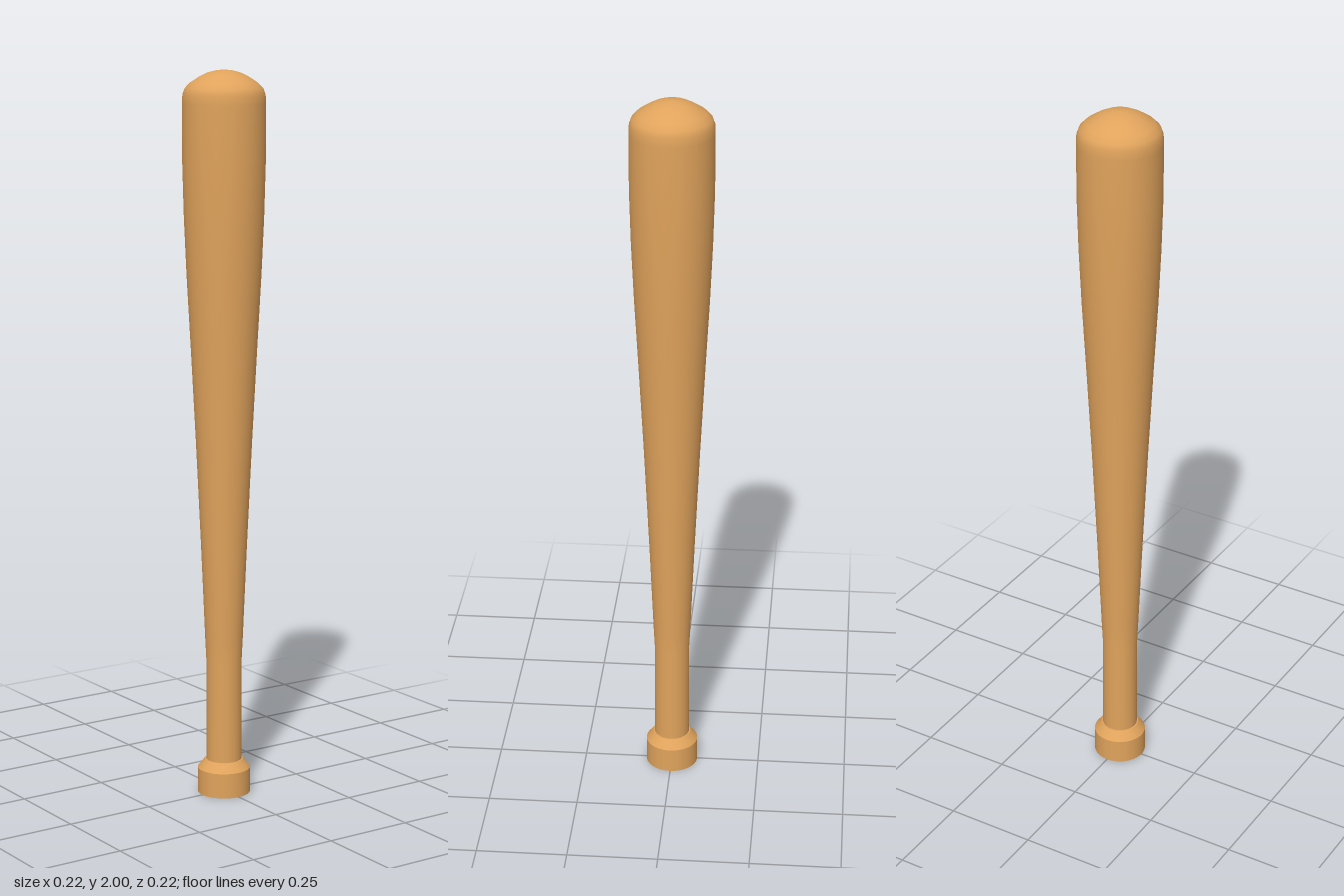
import * as THREE from 'three';

const SIDES = 48;

export function createModel() {
  const group = new THREE.Group();
  group.name = 'bat';
  const wood = new THREE.MeshStandardMaterial({ color: 0xe0a35c });

  // Each part is turned from [radius, height] points, bottom to top.
  function turned(name, profile) {
    const points = profile.map(([r, y]) => new THREE.Vector2(r, y));
    const mesh = new THREE.Mesh(new THREE.LatheGeometry(points, SIDES), wood);
    mesh.name = name;
    group.add(mesh);
  }

  // Knob: separate bands keep its edges sharp
  turned('knobBase', [[0, 0], [0.073, 0]]);
  turned('knobSide', [[0.073, 0], [0.073, 0.07]]);
  turned('knobBevel', [[0.073, 0.07], [0.053, 0.095]]);
  turned('knobTop', [[0.053, 0.095], [0.049, 0.095]]);

  // Straight grip, tapering barrel and domed end in one smooth surface
  turned('gripAndBarrel', [
    [0.049, 0.095], [0.049, 0.38], [0.052, 0.44], [0.063, 0.7], [0.077, 1.0],
    [0.09, 1.25], [0.101, 1.45], [0.108, 1.61], [0.112, 1.76], [0.112, 1.91],
    [0.111, 1.934], [0.105, 1.951], [0.09, 1.966], [0.065, 1.982],
    [0.045, 1.992], [0.022, 1.998], [0, 2],
  ]);

  return group;
}
